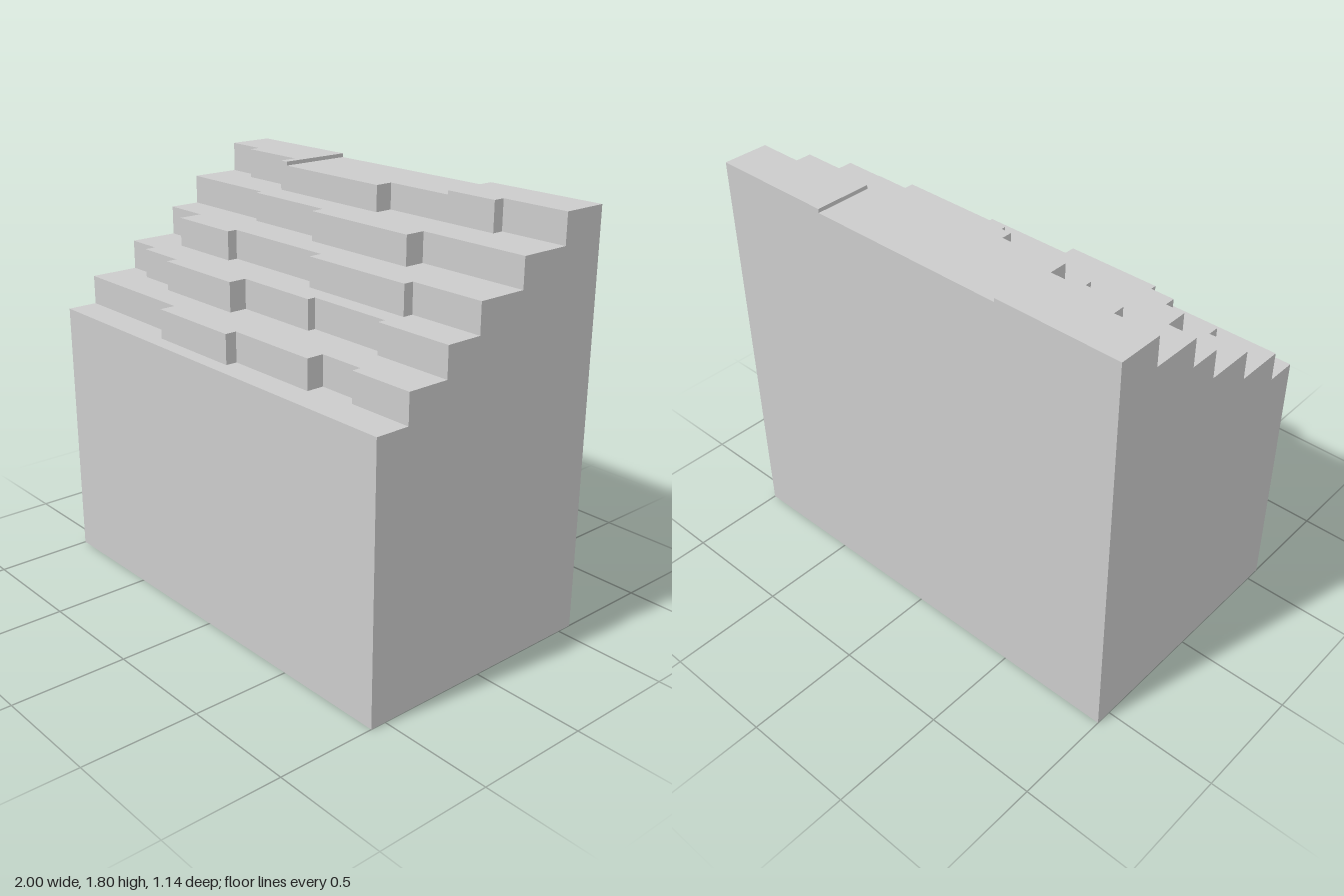
import * as THREE from 'three';

const BACK = -0.57, FRONT = 0.57;

export function createModel() {
  const group = new THREE.Group();
  group.name = 'steppedCliff';
  const material = new THREE.MeshStandardMaterial({ color: 0xcccccc, flatShading: true });

  // Slab with a straight back and a jagged front; steps are [right end x, front z].
  function addSlab(name, y0, y1, startX, steps) {
    const shape = new THREE.Shape();
    shape.moveTo(startX, -BACK);
    let x = startX;
    for (const [endX, z] of steps) {
      shape.lineTo(x, -z);
      shape.lineTo(endX, -z);
      x = endX;
    }
    shape.lineTo(x, -BACK);
    shape.closePath();
    const geometry = new THREE.ExtrudeGeometry(shape, { depth: y1 - y0, bevelEnabled: false });
    geometry.rotateX(-Math.PI / 2);
    const mesh = new THREE.Mesh(geometry, material);
    mesh.name = name;
    mesh.position.y = y0;
    group.add(mesh);
  }

  // Solid block below the ledges
  addSlab('base', 0, 1.16, -1, [[1, FRONT]]);

  // Ledges from the lowest to the fourth
  const heights = [1.16, 1.287, 1.415, 1.542, 1.668];
  const ledges = [
    [[-0.37, 0.435], [0.075, 0.505], [0.505, 0.455], [0.71, 0.38], [1, 0.42]],
    [[-0.83, 0.215], [-0.59, 0.265], [-0.145, 0.315], [0.25, 0.235], [0.645, 0.2], [1, 0.235]],
    [[-0.78, -0.005], [-0.43, 0.105], [0.125, 0.06], [0.66, 0.12], [1, 0.075]],
    [[-0.51, -0.145], [-0.065, -0.115], [0.49, -0.055], [1, -0.145]],
  ];
  ledges.forEach((steps, i) => addSlab(`ledge${i + 1}`, heights[i], heights[i + 1], -1, steps));

  // Top ledge: two raised ends and a slightly lower middle
  const topY = heights[4];
  addSlab('topLedgeRight', topY, 1.797, -1, [[-0.81, -0.37], [-0.49, -0.32], [-0.45, -0.24]]);
  addSlab('topLedgeMiddle', topY, 1.78, -0.45, [[0.125, -0.24], [0.445, -0.32]]);
  addSlab('topLedgeLeft', topY, 1.797, 0.445, [[0.69, -0.32], [1, -0.37]]);

  return group;
}
